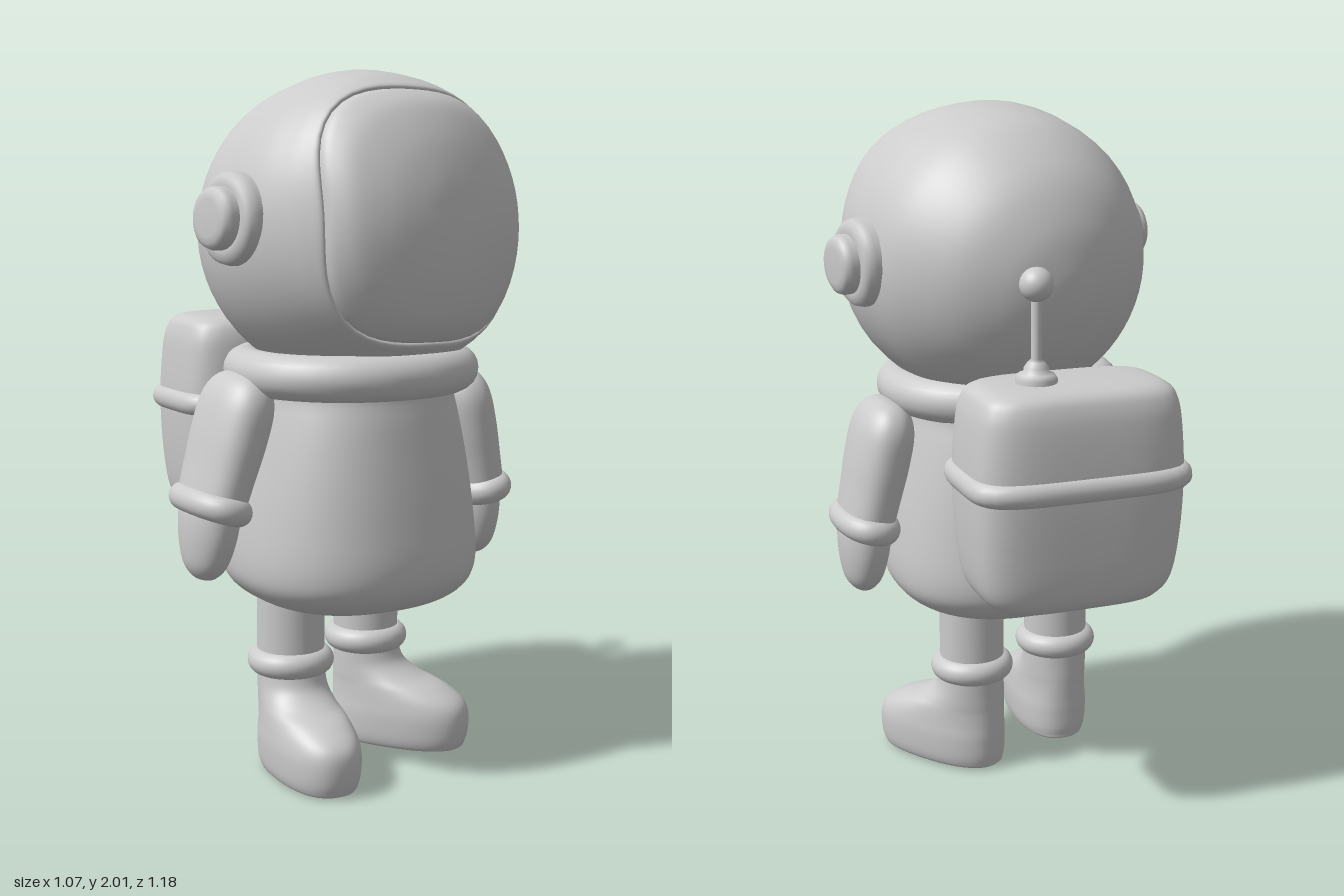
import * as THREE from 'three';

const material = new THREE.MeshStandardMaterial({ color: 0xcccccc });
const SEG = 56;

// Smooth the list of sections with a Catmull-Rom spline
function smooth(list, steps = 6) {
  const at = i => list[Math.min(Math.max(i, 0), list.length - 1)];
  const out = [];
  for (let i = 0; i < list.length - 1; i++) {
    for (let s = 0; s < steps; s++) {
      const t = s / steps;
      out.push(at(i).map((b, k) => {
        const a = at(i - 1)[k], c = at(i + 1)[k], d = at(i + 2)[k];
        return b + 0.5 * t * (c - a + t * (2 * a - 5 * b + 4 * c - d + t * (3 * (b - c) + d - a)));
      }));
    }
  }
  out.push(at(list.length - 1));
  return out;
}

// Stack of superellipse sections [y, rx, rz, exponent, z offset, corner dip]
function loft(sections) {
  const pos = [], idx = [];
  sections.forEach(([y, rx, rz, n = 2, cz = 0, dip = 0], i) => {
    for (let j = 0; j < SEG; j++) {
      const a = (j / SEG) * Math.PI * 2, c = Math.cos(a), s = Math.sin(a);
      const r = Math.pow(Math.abs(c) ** n + Math.abs(s) ** n, -1 / n);
      pos.push(Math.max(rx, 0) * r * c, y - dip * Math.sin(2 * a) ** 2, cz + Math.max(rz, 0) * r * s);
      if (i < sections.length - 1) {
        const p = i * SEG + j, q = i * SEG + (j + 1) % SEG;
        idx.push(p, p + SEG, q, q, p + SEG, q + SEG);
      }
    }
  });
  const g = new THREE.BufferGeometry();
  g.setAttribute('position', new THREE.Float32BufferAttribute(pos, 3));
  g.setIndex(idx);
  g.computeVertexNormals();
  return g;
}

// Padded ring that follows a superellipse
function ring(rx, rz, tube, n = 2, height = tube) {
  const sections = [];
  for (let i = 0; i <= 20; i++) {
    const p = -Math.PI + (i / 20) * Math.PI * 2;
    sections.push([height * Math.sin(p), rx + tube * Math.cos(p), rz + tube * Math.cos(p), n]);
  }
  return loft(sections);
}

function add(parent, name, geometry, x = 0, y = 0, z = 0) {
  const mesh = new THREE.Mesh(geometry, material);
  mesh.name = name;
  mesh.position.set(x, y, z);
  parent.add(mesh);
  return mesh;
}

function group(parent, name, x, y, z) {
  const g = new THREE.Group();
  g.name = name;
  g.position.set(x, y, z);
  parent.add(g);
  return g;
}

const lathe = points => new THREE.LatheGeometry(points.map(p => new THREE.Vector2(...p)), 40);

function buildHead(root) {
  const head = group(root, 'head', 0.015, 1.57, 0.135);
  head.rotation.set(-0.14, 0.25, -0.035, 'YXZ');
  const section = ([z, r, n, dip]) => [z, r, r, n, 0, dip];

  // Helmet shell, lofted from back to visor rim
  const shell = [
    [-0.44, 0, 2, 0], [-0.431, 0.08, 2, 0], [-0.39, 0.2, 2, 0], [-0.3, 0.32, 2, 0],
    [-0.15, 0.411, 2, 0], [0, 0.437, 2, 0], [0.12, 0.432, 2.05, 0], [0.22, 0.403, 2.25, 0.008],
    [0.28, 0.373, 2.6, 0.02], [0.307, 0.352, 2.9, 0.028], [0.298, 0.335, 3, 0.03],
  ].map(section);
  add(head, 'helmet', loft(smooth(shell)).rotateX(Math.PI / 2));

  // Bulging visor
  const visor = [
    [0.27, 0.338, 3, 0.03], [0.305, 0.343, 3, 0.03], [0.34, 0.332, 2.9, 0.028], [0.385, 0.288, 2.6, 0.018],
    [0.422, 0.2, 2.3, 0.006], [0.441, 0.1, 2, 0], [0.446, 0, 2, 0],
  ].map(section);
  add(head, 'visor', loft(smooth(visor)).rotateX(Math.PI / 2));

  // Stepped ear pods
  const disc = [[0.127, 0.36], [0.127, 0.435], [0.122, 0.455], [0.11, 0.467], [0.09, 0.47], [0, 0.47]];
  const button = [[0.084, 0.45], [0.086, 0.49], [0.08, 0.506], [0.068, 0.514], [0.05, 0.517], [0, 0.518]];
  for (const side of [1, -1]) {
    const pod = group(head, side > 0 ? 'leftEarPod' : 'rightEarPod', 0, 0.02, 0.025);
    pod.rotation.z = -side * Math.PI / 2;
    add(pod, 'podDisc', lathe(disc));
    add(pod, 'podButton', lathe(button));
  }
}

function buildTorso(root) {
  const torso = group(root, 'torso', 0, 0, 0.15);
  torso.rotation.y = 0.08;
  const body = [
    [0.49, 0, 0, 2.4], [0.492, 0.17, 0.17, 2.4], [0.515, 0.27, 0.27, 2.4], [0.565, 0.335, 0.335, 2.4],
    [0.64, 0.355, 0.358, 2.4], [0.78, 0.345, 0.35, 2.4], [0.95, 0.318, 0.332, 2.4],
    [1.1, 0.288, 0.312, 2.3], [1.2, 0.26, 0.28, 2.2], [1.24, 0, 0, 2],
  ];
  add(torso, 'body', loft(smooth(body)));
  add(torso, 'collar', ring(0.303, 0.282, 0.064, 2.1), 0, 1.178, 0.02);
}

function buildBackpack(root) {
  const pack = group(root, 'backpack', -0.05, 0, -0.365);
  pack.rotation.y = 0.08;
  const shell = [
    [0.665, 0, 0, 4], [0.667, 0.2, 0.1, 4], [0.69, 0.25, 0.15, 4], [0.75, 0.285, 0.175, 4.2],
    [0.88, 0.302, 0.186, 4.5], [1.04, 0.308, 0.191, 4.5], [1.18, 0.3, 0.185, 4.5], [1.25, 0.288, 0.173, 4.5],
    [1.287, 0.265, 0.15, 4.2], [1.302, 0.2, 0.1, 4], [1.305, 0, 0, 4],
  ];
  add(pack, 'packShell', loft(smooth(shell)));
  add(pack, 'packBelt', ring(0.3, 0.183, 0.028, 4.5, 0.034), 0, 1.037, 0);

  // Antenna with stepped foot and ball tip
  const antenna = group(root, 'antenna', 0.05, 1.3, -0.39);
  add(antenna, 'antennaFoot', lathe([
    [0.058, -0.02], [0.058, 0.015], [0.05, 0.028], [0.036, 0.032], [0.034, 0.045], [0.024, 0.06], [0.015, 0.068], [0.015, 0.25],
  ]));
  add(antenna, 'antennaBall', new THREE.SphereGeometry(0.047, 32, 24), 0, 0.27, 0);
}

function buildArm(root, name, x, y, z, armTilt, handTilt) {
  const arm = group(root, name, x, y, z);
  arm.rotation.y = 0.08;
  const sleeve = [
    [-0.02, 0.077, 0.137], [0.1, 0.083, 0.145], [0.2, 0.088, 0.15], [0.29, 0.085, 0.147],
    [0.345, 0.067, 0.122], [0.375, 0.035, 0.075], [0.383, 0, 0],
  ].map(([h, a, b]) => [h, a, b, 2.3]);
  const mitten = [
    [-0.215, 0, 0], [-0.207, 0.028, 0.045], [-0.17, 0.056, 0.085], [-0.1, 0.072, 0.112], [-0.03, 0.077, 0.122], [0.02, 0.07, 0.12],
  ];
  add(arm, 'sleeve', loft(smooth(sleeve))).rotation.z = armTilt;
  add(arm, 'wristCuff', ring(0.064, 0.13, 0.036, 2.2, 0.038)).rotation.z = armTilt;
  add(arm, 'mitten', loft(smooth(mitten))).rotation.z = handTilt;
}

function buildLeg(root, name, x, z, yaw) {
  const leg = group(root, name, x, 0, z);
  leg.rotation.y = yaw;
  add(leg, 'trouser', new THREE.CylinderGeometry(0.098, 0.098, 0.3, 40), 0, 0.45, 0);
  add(leg, 'ankleCuff', ring(0.088, 0.088, 0.038), 0, 0.328, 0);
  // Boot sections: height, heel, toe, half width, exponent
  const boot = [
    [0.008, 0.11, 0.11, 0, 2.4], [0.008, -0.07, 0.29, 0.085, 2.4], [0.03, -0.096, 0.323, 0.11, 2.4],
    [0.1, -0.1, 0.332, 0.117, 2.4], [0.15, -0.1, 0.316, 0.114, 2.3], [0.19, -0.1, 0.255, 0.109, 2.2],
    [0.22, -0.1, 0.175, 0.104, 2.1], [0.26, -0.099, 0.118, 0.1, 2], [0.32, -0.098, 0.098, 0.098, 2],
  ].map(([h, heel, toe, w, n]) => [h, w, (toe - heel) / 2, n, (toe + heel) / 2]);
  add(leg, 'boot', loft(smooth(boot)));
}

export function createModel() {
  const root = new THREE.Group();
  root.name = 'astronaut';
  buildHead(root);
  buildTorso(root);
  buildBackpack(root);
  buildArm(root, 'leftArm', 0.438, 0.79, 0.1, 0.22, 0.05);
  buildArm(root, 'rightArm', -0.438, 0.815, 0.175, -0.3, -0.11);
  buildLeg(root, 'leftLeg', 0.13, 0.013, 0.7);
  buildLeg(root, 'rightLeg', -0.18, 0.145, 0.03);
  return root;
}
